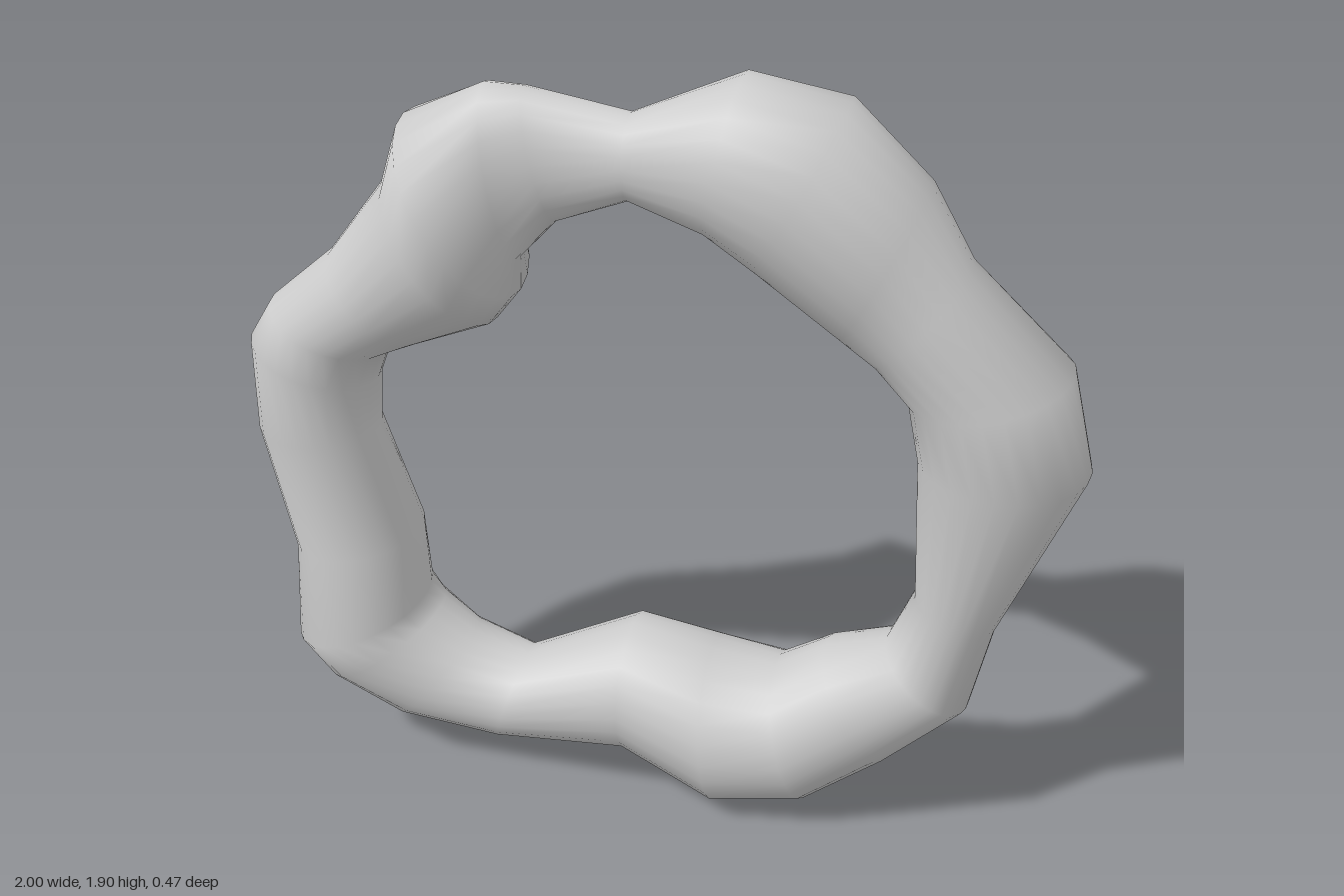
import * as THREE from 'three';

// Key cross-sections round the ring: outer x, y, inner x, y, half depth in z
const sections = [
  [1.0, 1.06, 0.61, 1.06, 0.195],
  [0.94, 1.3, 0.58, 1.2, 0.187],
  [0.7, 1.53, 0.5, 1.28, 0.162],
  [0.6, 1.7, 0.42, 1.34, 0.19],
  [0.42, 1.87, 0.23, 1.48, 0.21],
  [0.19, 1.91, 0.12, 1.55, 0.175],
  [-0.06, 1.8, -0.06, 1.6, 0.08],
  [-0.3, 1.84, -0.23, 1.53, 0.077],
  [-0.39, 1.84, -0.32, 1.43, 0.11],
  [-0.58, 1.75, -0.32, 1.35, 0.236],
  [-0.63, 1.6, -0.38, 1.27, 0.195],
  [-0.78, 1.4, -0.57, 1.19, 0.158],
  [-0.94, 1.26, -0.66, 1.15, 0.15],
  [-0.995, 1.17, -0.69, 1.07, 0.158],
  [-1.0, 0.93, -0.7, 0.93, 0.15],
  [-0.93, 0.6, -0.61, 0.65, 0.165],
  [-0.94, 0.34, -0.605, 0.455, 0.205],
  [-0.86, 0.22, -0.57, 0.42, 0.185],
  [-0.68, 0.11, -0.48, 0.36, 0.155],
  [-0.41, 0.075, -0.34, 0.315, 0.132],
  [-0.06, 0.115, -0.06, 0.46, 0.175],
  [0.18, 0.005, 0.14, 0.42, 0.21],
  [0.41, 0.05, 0.3, 0.4, 0.19],
  [0.6, 0.2, 0.42, 0.48, 0.165],
  [0.78, 0.38, 0.57, 0.53, 0.14],
  [0.825, 0.61, 0.63, 0.68, 0.108],
];

// Elliptical sections joined into one closed, smooth loop
function loopGeometry(rings, sides) {
  const positions = [];
  const index = [];
  rings.forEach(([ox, oy, ix, iy, depth], i) => {
    const next = ((i + 1) % rings.length) * sides;
    for (let j = 0; j < sides; j++) {
      const t = (j / sides) * Math.PI * 2;
      const c = Math.cos(t) / 2;
      positions.push(
        (ox + ix) / 2 + (ox - ix) * c,
        (oy + iy) / 2 + (oy - iy) * c,
        depth * Math.sin(t)
      );
      const k = (j + 1) % sides;
      const a = i * sides + j, b = next + j, d = next + k, e = i * sides + k;
      index.push(a, b, d, a, d, e);
    }
  });
  const geometry = new THREE.BufferGeometry();
  geometry.setAttribute('position', new THREE.Float32BufferAttribute(positions, 3));
  geometry.setIndex(index);
  geometry.computeVertexNormals();
  return geometry;
}

export function createModel() {
  const group = new THREE.Group();
  group.name = 'lumpyRing';
  const material = new THREE.MeshStandardMaterial({ color: 0xcccccc });
  const ring = new THREE.Mesh(loopGeometry(sections, 24), material);
  ring.name = 'ring';
  group.add(ring);
  return group;
}
